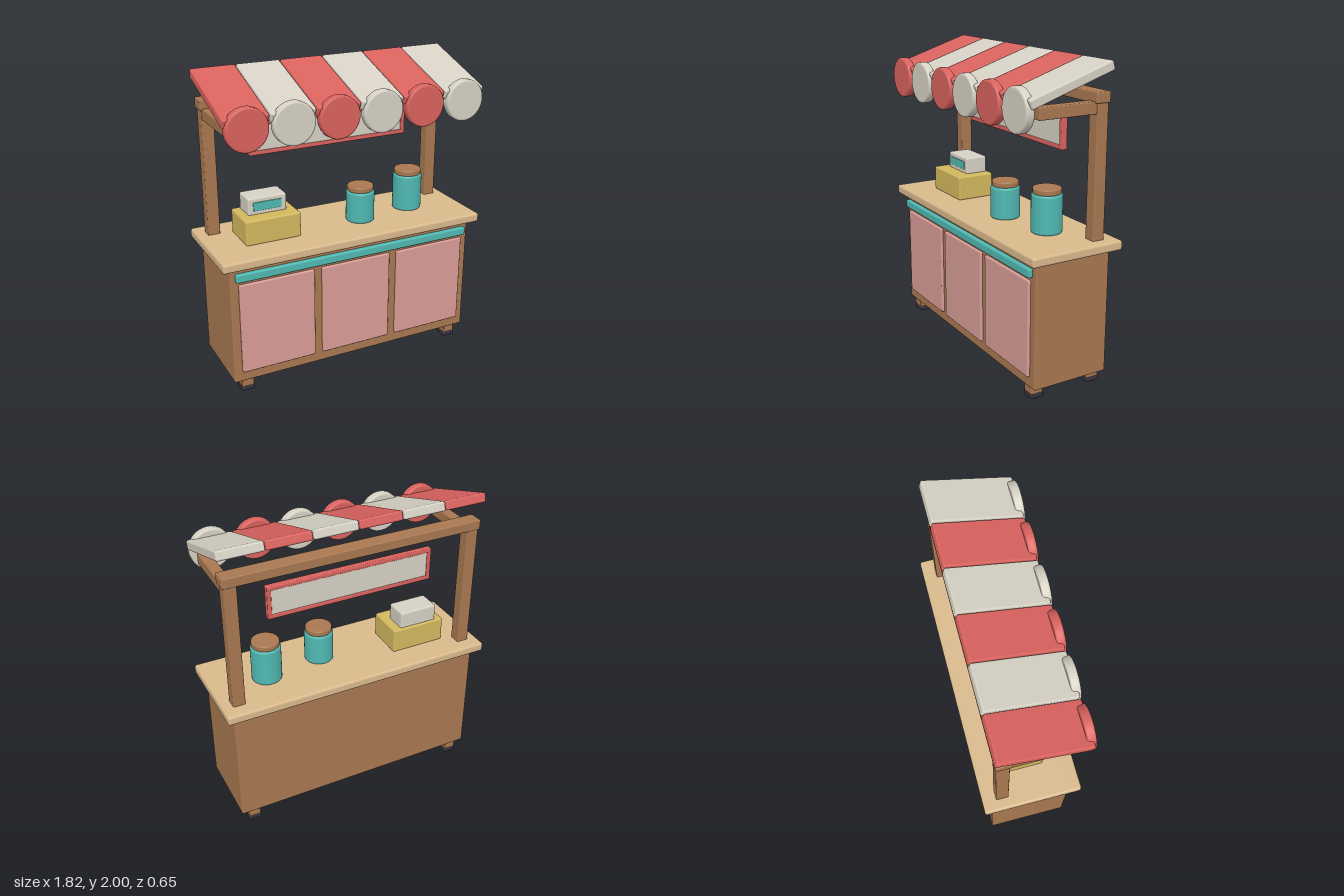
import * as THREE from 'three';
import { RoundedBoxGeometry } from 'three/addons/geometries/RoundedBoxGeometry.js';

const paint = (name, color) => {
  const m = new THREE.MeshStandardMaterial({ color });
  m.name = name;
  return m;
};

export function createModel() {
  const wood = paint('wood', 0xa87850);
  const pale = paint('pale wood', 0xd9b98c);
  const red = paint('red', 0xd9625e);
  const cream = paint('cream', 0xd6d1c4);
  const teal = paint('teal', 0x50b8b2);
  const pink = paint('pink', 0xd99c97);
  const yellow = paint('yellow', 0xd2b85e);
  const dark = paint('dark rubber', 0x35303f);

  const model = new THREE.Group();
  model.name = 'marketStall';

  const add = (name, geometry, material, parent = model) => {
    const mesh = new THREE.Mesh(geometry, material);
    mesh.name = name;
    parent.add(mesh);
    return mesh;
  };

  // Soft-edged box given by its limits on each axis
  const box = (name, material, [x0, x1], [y0, y1], [z0, z1], r = 0.008, parent = model) => {
    const size = [x1 - x0, y1 - y0, z1 - z0];
    const radius = Math.min(r, Math.min(...size) * 0.45);
    const mesh = add(name, new RoundedBoxGeometry(...size, 2, radius), material, parent);
    mesh.position.set((x0 + x1) / 2, (y0 + y1) / 2, (z0 + z1) / 2);
    return mesh;
  };

  // Upright disc with rounded rims, centred on its own middle
  const disc = (r, h, b) => {
    const pts = [new THREE.Vector2(0, -h / 2), new THREE.Vector2(r - b - 0.002, -h / 2)];
    for (const end of [-1, 1]) {
      for (let i = 0; i <= 3; i++) {
        const a = (end < 0 ? i - 3 : i) * Math.PI / 6;
        pts.push(new THREE.Vector2(r - b + b * Math.cos(a), end * (h / 2 - b) + b * Math.sin(a)));
      }
      if (end < 0) {
        pts.push(new THREE.Vector2(r, -h / 2 + b + 0.002), new THREE.Vector2(r, h / 2 - b - 0.002));
      }
    }
    pts.push(new THREE.Vector2(r - b - 0.002, h / 2), new THREE.Vector2(0, h / 2));
    return new THREE.LatheGeometry(pts, 32);
  };

  // Cabinet, counter and front trim
  box('cabinet', wood, [-0.853, 0.853], [0.083, 0.88], [-0.27, 0.25], 0.012);
  box('countertop', pale, [-0.908, 0.908], [0.88, 0.942], [-0.325, 0.305], 0.016);
  box('frontTrim', teal, [-0.82, 0.82], [0.79, 0.845], [0.245, 0.28], 0.01);
  for (const [x0, x1] of [[-0.8, -0.297], [-0.243, 0.243], [0.297, 0.8]]) {
    box('frontPanel', pink, [x0, x1], [0.155, 0.767], [0.24, 0.268]);
  }

  // Feet with dark pads
  for (const x of [-0.76, 0.76]) {
    for (const z of [-0.215, 0.195]) {
      box('foot', wood, [x - 0.04, x + 0.04], [0.025, 0.1], [z - 0.04, z + 0.04], 0.006);
      box('footPad', dark, [x - 0.043, x + 0.043], [0, 0.035], [z - 0.043, z + 0.043], 0.008);
    }
  }

  // Posts, back beam and arms holding the awning
  for (const x of [-0.8, 0.8]) {
    box('post', wood, [x - 0.04, x + 0.04], [0.93, 1.79], [-0.236, -0.155]);
    box('awningArm', wood, [x - 0.035, x + 0.035], [1.695, 1.768], [-0.17, 0.23]);
  }
  box('backBeam', wood, [-0.85, 0.85], [1.757, 1.823], [-0.242, -0.142]);

  // Awning of alternating sloped strips and round scallops
  const awning = new THREE.Group();
  awning.name = 'awning';
  model.add(awning);
  const stripGeometry = new RoundedBoxGeometry(0.285, 0.06, 0.58, 2, 0.012);
  const scallopGeometry = disc(0.133, 0.056, 0.012).rotateX(Math.PI / 2);
  for (let i = 0; i < 6; i++) {
    const x = (i - 2.5) * 0.291;
    const material = i % 2 ? cream : red;
    const strip = add('awningStrip', stripGeometry, material, awning);
    strip.position.set(x, 1.881, 0.031);
    strip.rotation.x = 0.316;
    add('awningScallop', scallopGeometry, material, awning).position.set(x, 1.746, 0.3);
  }

  // Hanging sign with frame and medallion
  const sign = new THREE.Group();
  sign.name = 'sign';
  model.add(sign);
  box('signBoard', cream, [-0.54, 0.54], [1.45, 1.64], [-0.15, -0.125], 0.005, sign);
  for (const [y0, y1] of [[1.437, 1.465], [1.628, 1.655]]) {
    box('signRail', red, [-0.556, 0.556], [y0, y1], [-0.157, -0.115], 0.006, sign);
  }
  for (const s of [-1, 1]) {
    const x = s * 0.542;
    box('signSide', red, [x - 0.014, x + 0.014], [1.455, 1.635], [-0.157, -0.115], 0.006, sign);
  }
  add('signMedallion', disc(0.057, 0.032, 0.006).rotateX(Math.PI / 2), yellow, sign)
    .position.set(0, 1.548, -0.114);

  // Cash register
  const register = new THREE.Group();
  register.name = 'cashRegister';
  model.add(register);
  box('registerBase', yellow, [-0.685, -0.315], [0.938, 1.103], [-0.15, 0.11], 0.012, register);
  box('registerHead', cream, [-0.632, -0.373], [1.095, 1.212], [-0.135, 0.02], 0.012, register);
  box('registerScreen', teal, [-0.598, -0.408], [1.126, 1.183], [0.015, 0.024], 0.004, register);

  // Jars with wooden lids
  for (const [x, z, r, top] of [[0.147, 0.026, 0.094, 1.15], [0.537, -0.03, 0.097, 1.187]]) {
    const jar = new THREE.Group();
    jar.name = 'jar';
    jar.position.set(x, 0, z);
    model.add(jar);
    add('jarBody', disc(r, top - 0.938, 0.014), teal, jar).position.y = (top + 0.938) / 2;
    add('jarLid', disc(r - 0.008, 0.038, 0.008), wood, jar).position.y = top + 0.016;
  }

  return model;
}
